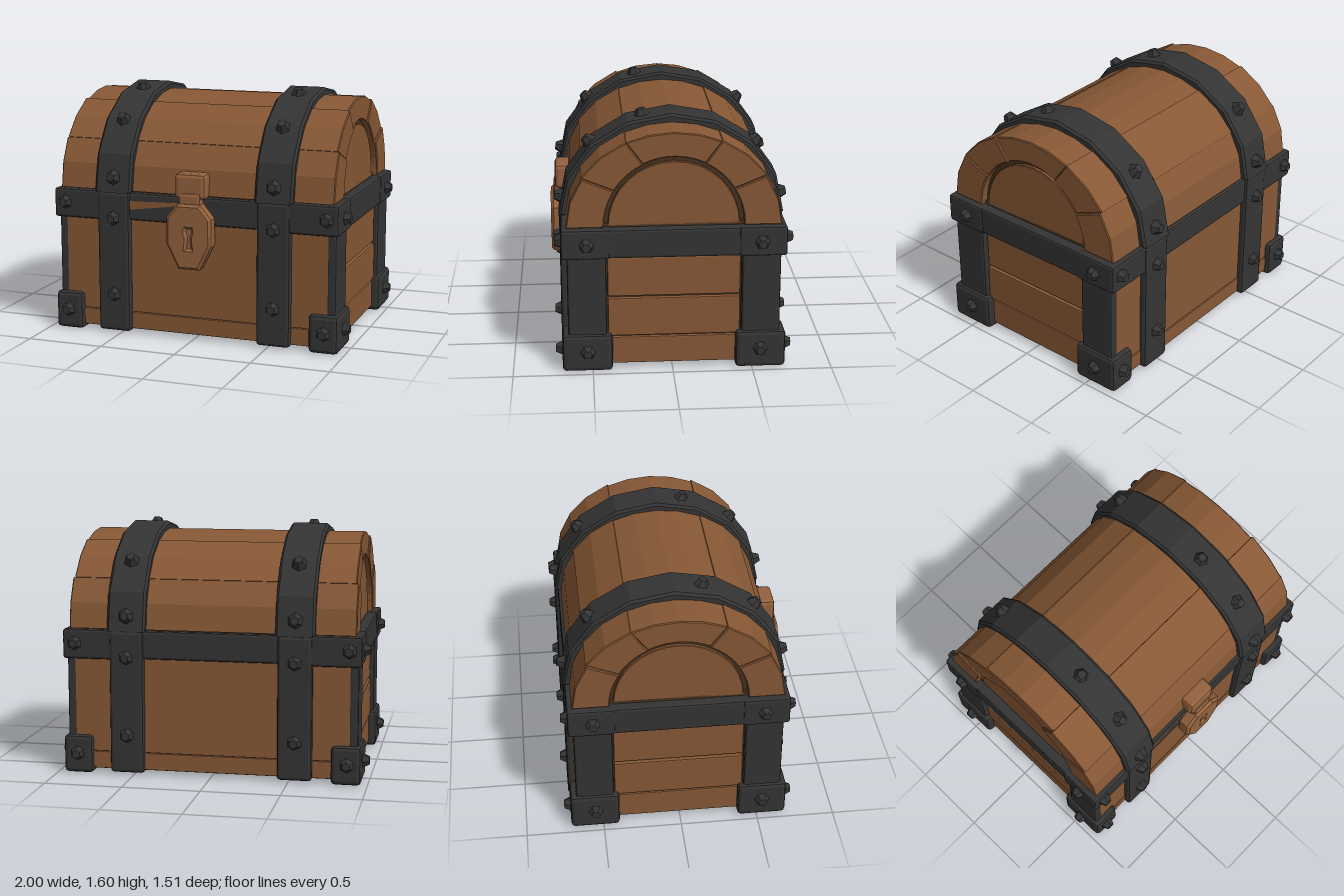
import * as THREE from 'three';
import { RoundedBoxGeometry } from 'three/addons/geometries/RoundedBoxGeometry.js';

const flat = (name, color) => {
  const m = new THREE.MeshStandardMaterial({ color, flatShading: true });
  m.name = name;
  return m;
};

export function createModel() {
  const wood = flat('wood', 0x875835);
  const darkWood = flat('darkWood', 0x453220);
  const iron = flat('iron', 0x343434);
  const copper = flat('copper', 0x94623e);

  const chest = new THREE.Group();
  chest.name = 'chest';
  const body = new THREE.Group();
  body.name = 'body';
  const lid = new THREE.Group();
  lid.name = 'lid';
  const lock = new THREE.Group();
  lock.name = 'lock';
  chest.add(body, lid, lock);
  body.position.z = lid.position.z = -0.01;

  const add = (parent, name, geo, mat) => {
    const mesh = new THREE.Mesh(geo, mat);
    mesh.name = name;
    parent.add(mesh);
    return mesh;
  };
  const vectors = points => points.map(p => new THREE.Vector2(...p));
  // Chamfered box given by its limits on each axis
  const block = (parent, name, mat, [x0, x1], [y0, y1], [z0, z1], r = 0.015) => {
    const geo = new RoundedBoxGeometry(Math.abs(x1 - x0), y1 - y0, Math.abs(z1 - z0), 1, r);
    return add(parent, name, geo.translate((x0 + x1) / 2, (y0 + y1) / 2, (z0 + z1) / 2), mat);
  };
  // Six-sided stud pointing along dir
  const rivet = (parent, pos, dir) => {
    const geo = new THREE.CylinderGeometry(0.028, 0.052, 0.05, 6).translate(0, 0.015, 0);
    const mesh = add(parent, 'rivet', geo, iron);
    mesh.position.set(...pos);
    mesh.quaternion.setFromUnitVectors(new THREE.Vector3(0, 1, 0), new THREE.Vector3(...dir).normalize());
  };
  // Points (z, y) along the lid's arch, angles in degrees from the front
  const arch = (rz, ry, a0, a1, steps) => Array.from({ length: steps + 1 }, (_, i) => {
    const a = THREE.MathUtils.degToRad(a0 + (a1 - a0) * i / steps);
    return new THREE.Vector2(rz * Math.cos(a), 0.942 + ry * Math.sin(a));
  });
  // Extrude a (z, y) outline along x, between x0 and x1
  const alongX = (points, x0, x1, bevel) => new THREE.ExtrudeGeometry(new THREE.Shape(points), {
    depth: x1 - x0 - 2 * bevel, bevelEnabled: bevel > 0, bevelThickness: bevel,
    bevelSize: bevel, bevelOffset: -bevel, bevelSegments: 1,
  }).rotateY(-Math.PI / 2).translate(x1 - bevel, 0, 0);

  // Body: dark core showing in the gaps between planks and under the lid
  block(body, 'core', darkWood, [-0.885, 0.885], [0.04, 0.96], [-0.645, 0.645], 0.005);
  block(body, 'floor', darkWood, [-0.89, 0.89], [0.027, 0.06], [-0.655, 0.655], 0.004);
  for (const s of [1, -1]) {
    block(body, 'longPlank', wood, [-0.89, 0.89], [0.03, 0.139], [s * 0.6, s * 0.665], 0.005);
    block(body, 'longPlank', wood, [-0.89, 0.89], [0.142, 0.8], [s * 0.6, s * 0.66], 0.005);
    [[0.03, 0.208], [0.221, 0.472], [0.485, 0.742]].forEach((y, i) =>
      block(body, 'endPlank', wood, [s * 0.86, s * (0.908 + 0.006 * (i % 2))], y, [-0.412, 0.412], 0.007));
  }

  // Iron rim around the opening
  for (const s of [1, -1]) {
    block(body, 'rim', iron, [-0.94, 0.94], [0.755, 0.935], [s * 0.62, s * 0.685]);
    block(body, 'rimEnd', iron, [s * 0.86, s * 0.95], [0.75, 0.935], [-0.68, 0.68]);
  }
  // Worn patch of bare wood on the front rim
  const patch = new THREE.Shape(vectors([[-0.43, 0.825], [-0.1, 0.87], [-0.1, 0.89], [-0.43, 0.882]]));
  add(body, 'wornPatch', new THREE.ShapeGeometry(patch).translate(0, 0, 0.688), wood);

  // Corners: foot, post and rim bracket
  for (const sx of [1, -1]) for (const sz of [1, -1]) {
    const side = [sx, 0, 0], face = [0, 0, sz];
    block(body, 'foot', iron, [sx * 0.77, sx * 0.96], [0, 0.245], [sz * 0.385, sz * 0.7], 0.025);
    block(body, 'post', iron, [sx * 0.875, sx * 0.938], [0.2, 0.8], [sz * 0.42, sz * 0.662]);
    block(body, 'rimBracket', iron, [sx * 0.62, sx * 0.957], [0.748, 0.938], [sz * 0.4, sz * 0.696]);
    rivet(body, [sx * 0.96, 0.13, sz * 0.54], side);
    rivet(body, [sx * 0.957, 0.84, sz * 0.54], side);
    rivet(body, [sx * 0.87, 0.13, sz * 0.7], face);
    rivet(body, [sx * 0.88, 0.85, sz * 0.696], face);
    // Upright straps on front and back
    block(body, 'strap', iron, [sx * 0.43, sx * 0.65], [0.015, 0.935], [sz * 0.57, sz * 0.705], 0.02);
    rivet(body, [sx * 0.54, 0.26, sz * 0.705], face);
    rivet(body, [sx * 0.54, 0.765, sz * 0.705], face);
  }

  // Lid: curved planks over a dark core
  add(lid, 'lidCore', alongX(arch(0.63, 0.55, 0, 180, 20), -0.865, 0.865, 0), darkWood);
  const cuts = [0, 32, 64, 116, 148, 180];
  const reach = [0.92, 0.912, 0.9, 0.907, 0.92];
  for (let i = 0; i < 5; i++) {
    const steps = i === 2 ? 4 : 2;
    const swell = i % 2 ? 0.006 : 0;
    const outline = [...arch(0.664 + swell, 0.59 + swell, cuts[i], cuts[i + 1], steps),
      ...arch(0.432, 0.437, cuts[i + 1], cuts[i], steps * 2)];
    add(lid, 'lidPlank', alongX(outline, -reach[i], reach[i], 0.006), wood);
  }
  // Recessed half-round end panels
  add(lid, 'endPanels', alongX(arch(0.406, 0.407, 0, 180, 16), -0.885, 0.885, 0.004), wood);

  // Arched straps over the lid, with studs
  for (const s of [1, -1]) {
    const outline = [...arch(0.708, 0.64, -1, 181, 8), ...arch(0.6, 0.53, 181, -1, 8)];
    add(lid, 'lidStrap', alongX(outline, s * 0.54 - 0.125, s * 0.54 + 0.125, 0.015), iron);
    for (const [z, y, nz, ny] of [[0.695, 1.03, 1, 0.15], [0.51, 1.385, 0.7, 0.7], [0.18, 1.55, 0.25, 1],
      [-0.53, 1.37, -0.7, 0.7], [-0.695, 1.03, -1, 0.15]]) {
      rivet(lid, [s * 0.54, y, z], [0, ny, nz]);
    }
  }

  // Hasp and padlock with a sunken keyhole
  block(lock, 'hasp', copper, [-0.103, 0.103], [0.925, 1.09], [0.6, 0.725], 0.025);
  block(lock, 'haspTongue', copper, [-0.075, 0.075], [0.84, 0.97], [0.63, 0.735], 0.02);
  const plate = new THREE.Shape(vectors([[-0.07, 0.48], [0.07, 0.48], [0.15, 0.64], [0.15, 0.81],
    [0.075, 0.9], [-0.075, 0.9], [-0.15, 0.81], [-0.15, 0.64]]));
  plate.holes.push(new THREE.Path(vectors([[-0.016, 0.615], [-0.007, 0.69], [-0.02, 0.72], [-0.016, 0.742],
    [0.016, 0.742], [0.02, 0.72], [0.007, 0.69], [0.016, 0.615]])));
  add(lock, 'padlock', new THREE.ExtrudeGeometry(plate, {
    depth: 0.065, bevelThickness: 0.018, bevelSize: 0.016, bevelOffset: -0.016, bevelSegments: 1,
  }).translate(0, 0, 0.672), copper);
  add(lock, 'keyholeBack', new THREE.BoxGeometry(0.12, 0.2, 0.008).translate(0, 0.69, 0.732), copper);

  return chest;
}
